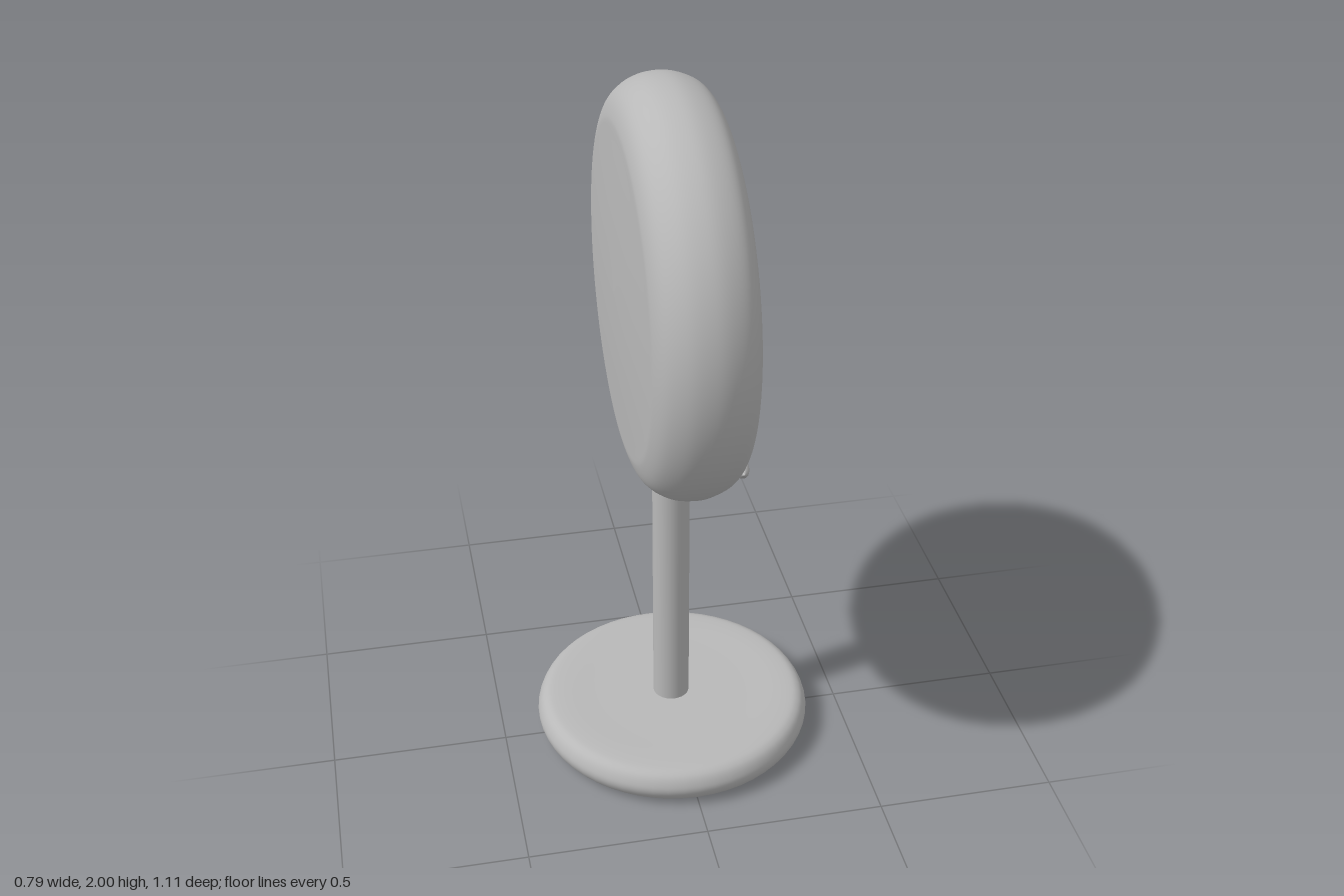
import * as THREE from 'three';

const CENTRE_Y = 1.444;

// Smooth lathe through a few [radius, height] points
function lathe(points, segments, smooth = true) {
  let pts = points.map(([r, h]) => new THREE.Vector2(r, h));
  if (smooth) pts = new THREE.SplineCurve(pts).getPoints(70);
  pts.forEach((p) => { p.x = Math.max(p.x, 0); });
  return new THREE.LatheGeometry(pts, segments);
}

// Spiral on the +x face from [angle in degrees, radius, x] points
function spiral(points) {
  const polar = new THREE.CatmullRomCurve3(
    points.map(([a, r, x]) => new THREE.Vector3(a / 90, r, x)), false, 'centripetal');
  const pts = [];
  for (let i = 0; i <= 90; i++) {
    const p = polar.getPoint(i / 90);
    const a = p.x * Math.PI / 2;
    pts.push(new THREE.Vector3(p.z, CENTRE_Y + p.y * Math.sin(a), -p.y * Math.cos(a)));
  }
  return new THREE.CatmullRomCurve3(pts);
}

// Tube whose radius follows a rule along its length
function taperedTube(path, segments, radiusAt) {
  const sides = 14;
  const geo = new THREE.TubeGeometry(path, segments, 1, sides, false);
  const pos = geo.attributes.position;
  const v = new THREE.Vector3();
  for (let i = 0; i <= segments; i++) {
    const t = i / segments;
    const c = path.getPointAt(t);
    const r = radiusAt(t);
    for (let j = 0; j <= sides; j++) {
      const k = i * (sides + 1) + j;
      v.fromBufferAttribute(pos, k).sub(c).multiplyScalar(r).add(c);
      pos.setXYZ(k, v.x, v.y, v.z);
    }
  }
  return geo;
}

// Rounded closing of both ends
const cap = (t, len) => Math.sqrt(Math.max(0, 1 - Math.pow(1 - Math.min(1, t / len, (1 - t) / len), 2)));

export function createModel() {
  const group = new THREE.Group();
  const grey = new THREE.MeshStandardMaterial({ color: 0xb8b8b8 });
  grey.name = 'plain grey';
  const add = (name, geo) => {
    const mesh = new THREE.Mesh(geo, grey);
    mesh.name = name;
    group.add(mesh);
    return mesh;
  };

  // Rounded foot
  add('base', lathe([[0, 0.008], [0.2, 0.005], [0.33, 0.005], [0.37, 0.015], [0.393, 0.045],
    [0.395, 0.075], [0.375, 0.106], [0.33, 0.115], [0.2, 0.113], [0, 0.113]], 56));

  // Stem
  const stem = add('stem', new THREE.CylinderGeometry(0.052, 0.052, 0.86, 28));
  stem.position.set(-0.003, 0.51, 0);

  // Disc with a slightly domed back and a recessed front
  const disc = add('disc', lathe([[0, -0.154], [0.2, -0.15], [0.4, -0.141], [0.46, -0.135], [0.51, -0.11],
    [0.545, -0.06], [0.556, 0], [0.548, 0.05], [0.525, 0.095], [0.485, 0.122], [0.44, 0.126],
    [0.4, 0.112], [0.37, 0.08], [0.3, 0.07], [0, 0.07]], 80));
  disc.rotation.z = -Math.PI / 2;
  disc.position.y = CENTRE_Y;

  // Narrow raised ridge, from the loose tail to the middle
  const ridge = spiral([[-108, 0.525, 0.165], [-90, 0.49, 0.158], [-60, 0.435, 0.14], [-30, 0.405, 0.12],
    [0, 0.388, 0.102], [45, 0.36, 0.09], [90, 0.335, 0.085], [180, 0.325, 0.085], [270, 0.29, 0.087],
    [360, 0.195, 0.092], [450, 0.135, 0.1], [540, 0.125, 0.105], [630, 0.075, 0.11], [690, 0.03, 0.11]]);
  add('ridge', taperedTube(ridge, 320, (t) => (0.024 + 0.022 * Math.min(1, t / 0.25)) * cap(t, 0.015)));

  // Broad roll winding between the turns of the ridge
  const roll = spiral([[-70, 0.39, 0.075], [-30, 0.32, 0.07], [0, 0.29, 0.062], [90, 0.235, 0.06],
    [180, 0.225, 0.06], [270, 0.185, 0.07], [360, 0.1, 0.08], [450, 0.05, 0.09]]);
  add('roll', taperedTube(roll, 220, (t) => (0.072 - 0.012 * t) * cap(t, 0.04)));

  // Button in the middle of the swirl
  const button = add('button', new THREE.SphereGeometry(0.06, 24, 16));
  button.position.set(0.1, CENTRE_Y, 0);

  return group;
}
